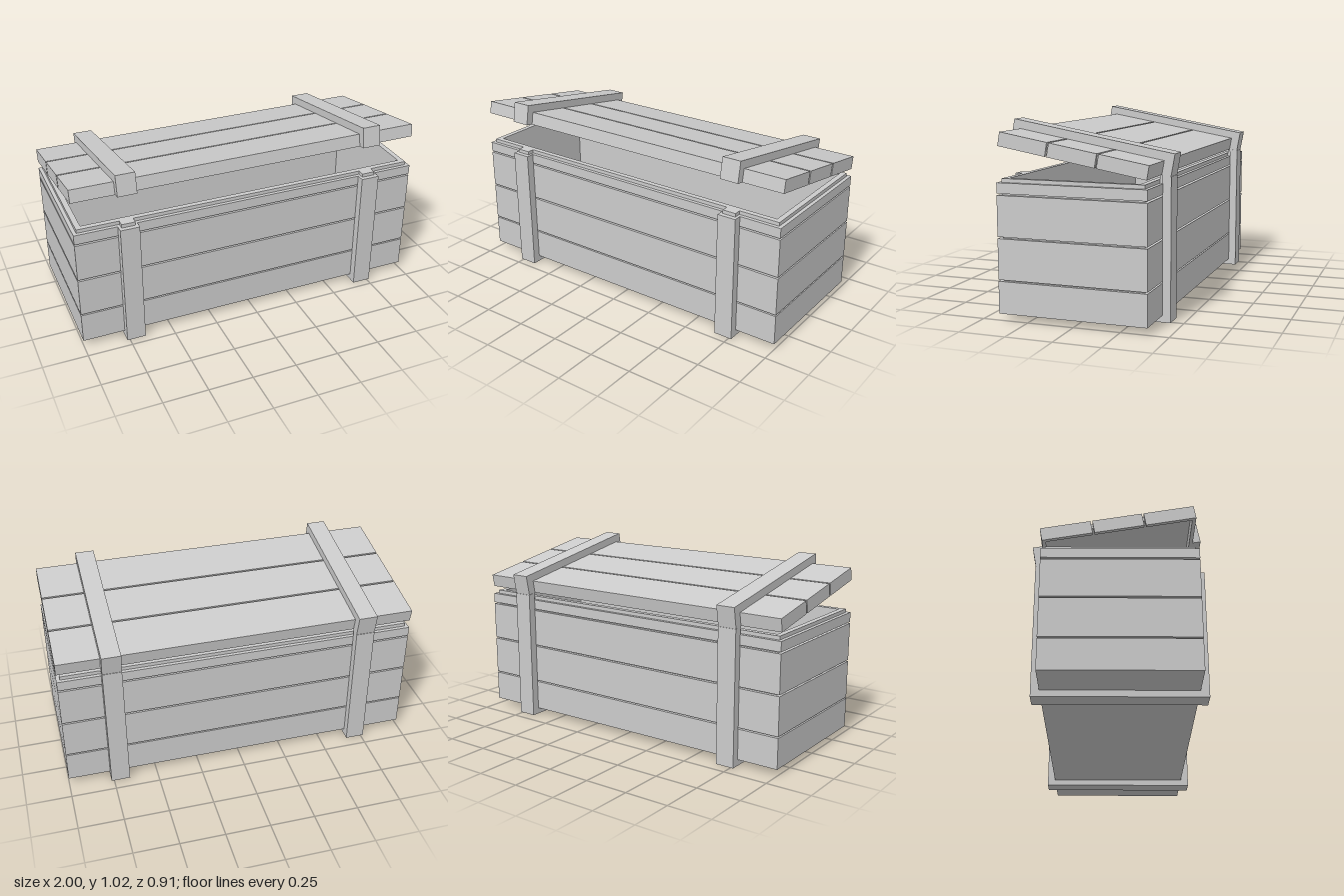
import * as THREE from 'three';

const material = new THREE.MeshStandardMaterial({ color: 0xcccccc, flatShading: true });

function add(parent, name, geometry) {
  const mesh = new THREE.Mesh(geometry, material);
  mesh.name = name;
  parent.add(mesh);
  return mesh;
}

// Box given by its limits on each axis
function block(parent, name, x0, x1, y0, y1, z0, z1) {
  const mesh = add(parent, name, new THREE.BoxGeometry(x1 - x0, y1 - y0, z1 - z0));
  mesh.position.set((x0 + x1) / 2, (y0 + y1) / 2, (z0 + z1) / 2);
  return mesh;
}

// Rectangular tube with an open middle, running from y0 to y1
function frame(parent, name, halfX, z0, z1, wall, y0, y1) {
  const rect = (path, x, a, b) =>
    path.moveTo(-x, -b).lineTo(x, -b).lineTo(x, -a).lineTo(-x, -a).closePath();
  const shape = new THREE.Shape();
  rect(shape, halfX, z0, z1);
  const hole = new THREE.Path();
  rect(hole, halfX - wall, z0 + wall, z1 - wall);
  shape.holes.push(hole);
  const geometry = new THREE.ExtrudeGeometry(shape, { depth: y1 - y0, bevelEnabled: false });
  geometry.rotateX(-Math.PI / 2).translate(0, y0, 0);
  return add(parent, name, geometry);
}

// Side outline of [z, y] points given a width along x
function strap(parent, name, x, width, points) {
  const shape = new THREE.Shape(points.map(([z, y]) => new THREE.Vector2(z, y)));
  const geometry = new THREE.ExtrudeGeometry(shape, { depth: width, bevelEnabled: false });
  geometry.translate(0, 0, -width / 2).rotateY(-Math.PI / 2).translate(x, 0, 0);
  return add(parent, name, geometry);
}

export function createModel() {
  const crate = new THREE.Group();
  crate.name = 'crate';
  const strapX = 0.712, strapWidth = 0.106;

  // Hollow body: plank courses around an inner liner that rises as a lip
  const body = new THREE.Group();
  body.name = 'body';
  crate.add(body);
  const courses = [[0.035, 0.204], [0.212, 0.425], [0.434, 0.646], [0.655, 0.71]];
  for (const [y0, y1] of courses) frame(body, 'wallPlanks', 1, -0.39, 0.41, 0.022, y0, y1);
  frame(body, 'innerLiner', 0.98, -0.37, 0.39, 0.03, 0.04, 0.73);
  block(body, 'floor', -0.985, 0.985, 0.035, 0.06, -0.375, 0.395);

  // Straps wrapping the front, bottom and back, with a catch and a hinge
  for (const side of [-1, 1]) {
    const x = side * strapX;
    strap(body, 'bodyStrap', x, strapWidth, [
      [0.455, 0], [0.455, 0.71], [0.41, 0.71], [0.41, 0.035], [-0.39, 0.035],
      [-0.39, 0.71], [-0.385, 0.755], [-0.434, 0.746], [-0.434, 0],
    ]);
    block(body, 'catch', x - 0.038, x + 0.038, 0.7, 0.73, 0.385, 0.43);
    block(body, 'hinge', x - 0.038, x + 0.038, 0.7, 0.757, -0.395, -0.37);
  }

  // Lid built flat from its back lower edge, then tilted open
  const lid = new THREE.Group();
  lid.name = 'lid';
  lid.position.set(0, 0.755, -0.385);
  lid.rotation.x = -0.176;
  crate.add(lid);
  const length = 0.797, top = 0.072, recess = 0.037, rim = 0.02;
  for (const [z0, z1] of [[0, 0.26], [0.27, 0.526], [0.536, length]]) {
    block(lid, 'lidPlank', -1, 1, recess, top, z0, z1);
    for (const side of [-1, 1]) {
      const xs = [side, side * (1 - rim)].sort((a, b) => a - b);
      block(lid, 'lidEndRim', xs[0], xs[1], 0, recess, z0, z1);
    }
  }
  block(lid, 'lidBackRim', rim - 1, 1 - rim, 0, recess, 0, rim);
  block(lid, 'lidFrontRim', rim - 1, 1 - rim, 0, recess, length - rim, length);
  block(lid, 'lidPanel', -0.985, 0.985, recess - 0.002, 0.06, 0.015, length - 0.015);

  // Lid straps folding down over the front and back edges
  for (const side of [-1, 1]) {
    strap(lid, 'lidStrap', side * strapX, strapWidth, [
      [-0.048, 0], [0, 0], [0, top], [length, top], [length, 0],
      [0.84, 0], [0.84, 0.116], [-0.048, 0.116],
    ]);
  }
  return crate;
}
